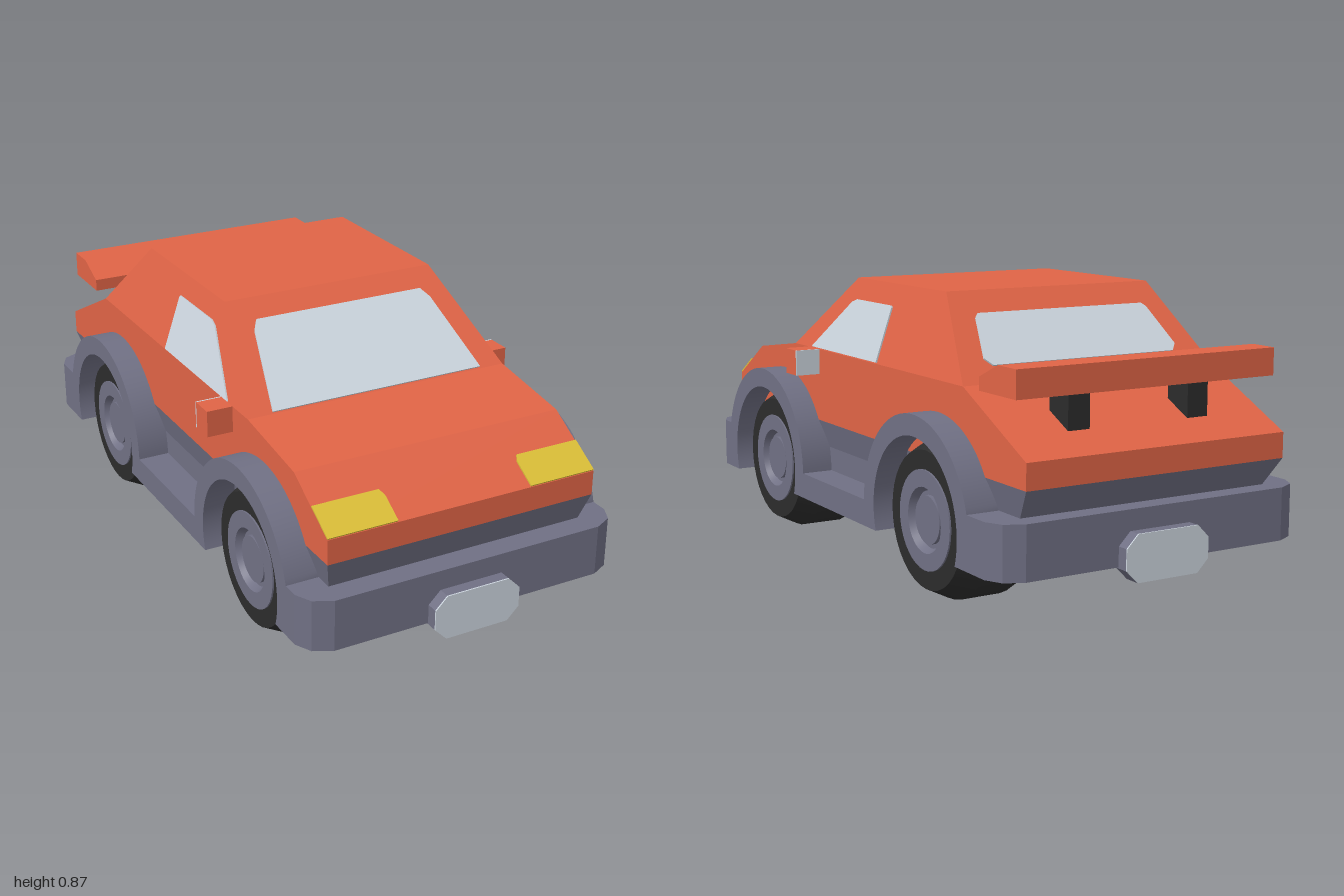
import * as THREE from 'three';
import { toCreasedNormals } from 'three/addons/utils/BufferGeometryUtils.js';

function material(name, color) {
  const m = new THREE.MeshStandardMaterial({ color });
  m.name = name;
  return m;
}

const polygon = (pts) => new THREE.Shape(pts.map(([a, b]) => new THREE.Vector2(a, b)));

// Extrudes a (z, y) side profile across x, from x0 to x1
function sideExtrude(shape, x0, x1) {
  const g = new THREE.ExtrudeGeometry(shape, { depth: x1 - x0, bevelEnabled: false, curveSegments: 24 });
  return g.rotateY(-Math.PI / 2).translate(x1, 0, 0);
}

// Multiplies x on every vertex at one height
function taper(g, y, factor) {
  const p = g.attributes.position;
  for (let i = 0; i < p.count; i++) {
    if (Math.abs(p.getY(i) - y) < 1e-4) p.setX(i, p.getX(i) * factor);
  }
  g.computeVertexNormals();
  return g;
}

// Thin plate lying on a sloped panel; points are (along u, height above origin)
function plate(pts, origin, u, v) {
  const U = new THREE.Vector3(...u), V = new THREE.Vector3(...v);
  const N = new THREE.Vector3().crossVectors(U, V).normalize();
  const g = new THREE.ExtrudeGeometry(polygon(pts), { depth: 0.005, bevelEnabled: false });
  return g.applyMatrix4(new THREE.Matrix4().makeBasis(U, V, N).setPosition(...origin));
}

export function createModel() {
  const car = new THREE.Group();
  car.name = 'sportsCar';
  const paint = material('orange paint', 0xe06446);
  const trim = material('grey trim', 0x707084);
  const rubber = material('black rubber', 0x2c2c2c);
  const glass = material('pale glass', 0xccd5de);
  const lamp = material('yellow lamp', 0xdcbf38);

  function add(name, geometry, mat, parent = car) {
    const mesh = new THREE.Mesh(geometry, mat);
    mesh.name = name;
    parent.add(mesh);
    return mesh;
  }
  const box = (w, h, d, x, y, z) => new THREE.BoxGeometry(w, h, d).translate(x, y, z);

  // Painted body, cabin and the tapered tub beneath
  add('body', sideExtrude(polygon([[0.92, 0.4], [0.92, 0.475], [0.73, 0.59], [0.45, 0.63],
    [-0.64, 0.63], [-0.96, 0.475], [-0.96, 0.4]]), -0.43, 0.43), paint);
  add('cabin', taper(sideExtrude(polygon([[0.45, 0.63], [0.14, 0.865], [-0.41, 0.865],
    [-0.64, 0.63]]), -0.43, 0.43), 0.865, 0.35 / 0.43), paint);
  add('tub', taper(sideExtrude(polygon([[0.92, 0.4], [-0.96, 0.4], [-0.9, 0.315],
    [0.89, 0.315]]), -0.43, 0.43), 0.315, 0.41 / 0.43), trim);
  add('floor', box(0.82, 0.155, 1.7, 0, 0.2375, 0), trim);

  // Windscreen and rear window
  add('windscreen', plate([[-0.35, 0.003], [0.35, 0.003], [0.3, 0.165], [0.28, 0.187],
    [-0.28, 0.187], [-0.3, 0.165]], [0, 0.63, 0.45], [1, 0, 0], [0, 1, -0.31 / 0.235]), glass);
  add('rearWindow', plate([[-0.31, 0.042], [0.31, 0.042], [0.33, 0.06], [0.297, 0.163],
    [0.285, 0.173], [-0.285, 0.173], [-0.297, 0.163], [-0.33, 0.06]],
    [0, 0.63, -0.64], [-1, 0, 0], [0, 1, 0.23 / 0.235]), glass);

  // Side skirt outline with flared wheel arches
  const cy = 0.235, flare = new THREE.Shape();
  flare.moveTo(0.835, 0.16);
  flare.lineTo(0.835, 0.315);
  flare.absarc(0.54, cy, 0.305, 0.265, Math.PI - 0.016, false);
  flare.absarc(-0.5, cy, 0.305, 0.016, Math.PI - 0.265, false);
  flare.lineTo(-0.795, 0.16);
  flare.absarc(-0.5, cy, 0.243, Math.PI + 0.314, -0.314, true);
  flare.absarc(0.54, cy, 0.243, Math.PI + 0.314, -0.314, true);
  flare.closePath();

  // Wheel profiles as (radius, distance from the centre line of the car)
  const lathe = (pts) => toCreasedNormals(
    new THREE.LatheGeometry(pts.map(([r, a]) => new THREE.Vector2(r, a)), 36), 0.4);
  const tyre = lathe([[0, 0.195], [0.2, 0.195], [0.235, 0.275], [0.235, 0.4], [0.2, 0.47],
    [0.145, 0.47], [0.135, 0.45], [0, 0.45]]);
  const rim = lathe([[0.145, 0.44], [0.145, 0.475], [0.095, 0.475], [0.083, 0.453],
    [0.07, 0.453], [0.07, 0.465], [0, 0.465]]);

  for (const s of [1, -1]) {
    const side = s > 0 ? 'left' : 'right';
    add(side + 'WheelArches', toCreasedNormals(
      s > 0 ? sideExtrude(flare, 0.4, 0.51) : sideExtrude(flare, -0.51, -0.4), 0.4), trim);

    // Wheels
    for (const [end, z] of [['Front', 0.54], ['Rear', -0.5]]) {
      const wheel = new THREE.Group();
      wheel.name = side + end + 'Wheel';
      wheel.position.set(0, cy, z);
      wheel.rotation.z = -s * Math.PI / 2;
      add('tyre', tyre, rubber, wheel);
      add('rim', rim, trim, wheel);
      car.add(wheel);
    }

    // Side window, mirror with glass facing backwards, headlight
    const win = [[-0.32, 0.003], [0.13, 0.003], [0.13, 0.165], [0.125, 0.17], [-0.1, 0.17],
      [-0.13, 0.16]].map(([a, b]) => [s * a, b]);
    add(side + 'Window', plate(win, [s * 0.43, 0.63, 0], [0, 0, -s], [-s * 0.08 / 0.235, 1, 0]), glass);
    add(side + 'Mirror', box(0.09, 0.08, 0.075, s * 0.465, 0.59, 0.3125), paint);
    add(side + 'MirrorGlass', box(0.08, 0.08, 0.005, s * 0.47, 0.59, 0.2725), glass);
    const light = [[0.215, 0.001], [0.43, 0.001], [0.43, 0.056], [0.225, 0.056], [0.215, 0.045]]
      .map(([a, b]) => [s * a, b]);
    add(side + 'Headlight', plate(light, [0, 0.475, 0.92], [1, 0, 0], [0, 1, -0.19 / 0.115]), lamp);

    // Spoiler post
    add(side + 'SpoilerPost', box(0.07, 0.14, 0.09, s * 0.2, 0.57, -0.815), rubber);

    // Bumper with cut corners, and its plate (s = 1 front, s = -1 rear)
    const end = s > 0 ? 'front' : 'rear';
    const inner = s > 0 ? 0.83 : 0.79;
    const plan = [[0.51, inner], [0.51, 0.885], [0.485, 0.935], [0.43, 0.962],
      [-0.43, 0.962], [-0.485, 0.935], [-0.51, 0.885], [-0.51, inner]];
    add(end + 'Bumper', new THREE.ExtrudeGeometry(polygon(plan.map(([x, z]) => [x, -s * z])),
      { depth: 0.155, bevelEnabled: false }).rotateX(-Math.PI / 2).translate(0, 0.16, 0), trim);
    const octagon = polygon([[-0.1, 0.12], [0.1, 0.12], [0.137, 0.157], [0.137, 0.218],
      [0.1, 0.255], [-0.1, 0.255], [-0.137, 0.218], [-0.137, 0.157]]);
    const turn = s > 0 ? 0 : Math.PI;
    add(end + 'PlateHolder', new THREE.ExtrudeGeometry(octagon, { depth: 0.046, bevelEnabled: false })
      .translate(0, 0, 0.95).rotateY(turn), trim);
    add(end + 'Plate', new THREE.ExtrudeGeometry(octagon, { depth: 0.004, bevelEnabled: false })
      .translate(0, 0, 0.996).rotateY(turn), glass);
  }

  // Spoiler wing
  add('spoiler', sideExtrude(polygon([[-0.725, 0.63], [-0.725, 0.668], [-0.82, 0.71],
    [-0.91, 0.71], [-0.91, 0.63]]), -0.43, 0.43), paint);

  return car;
}
